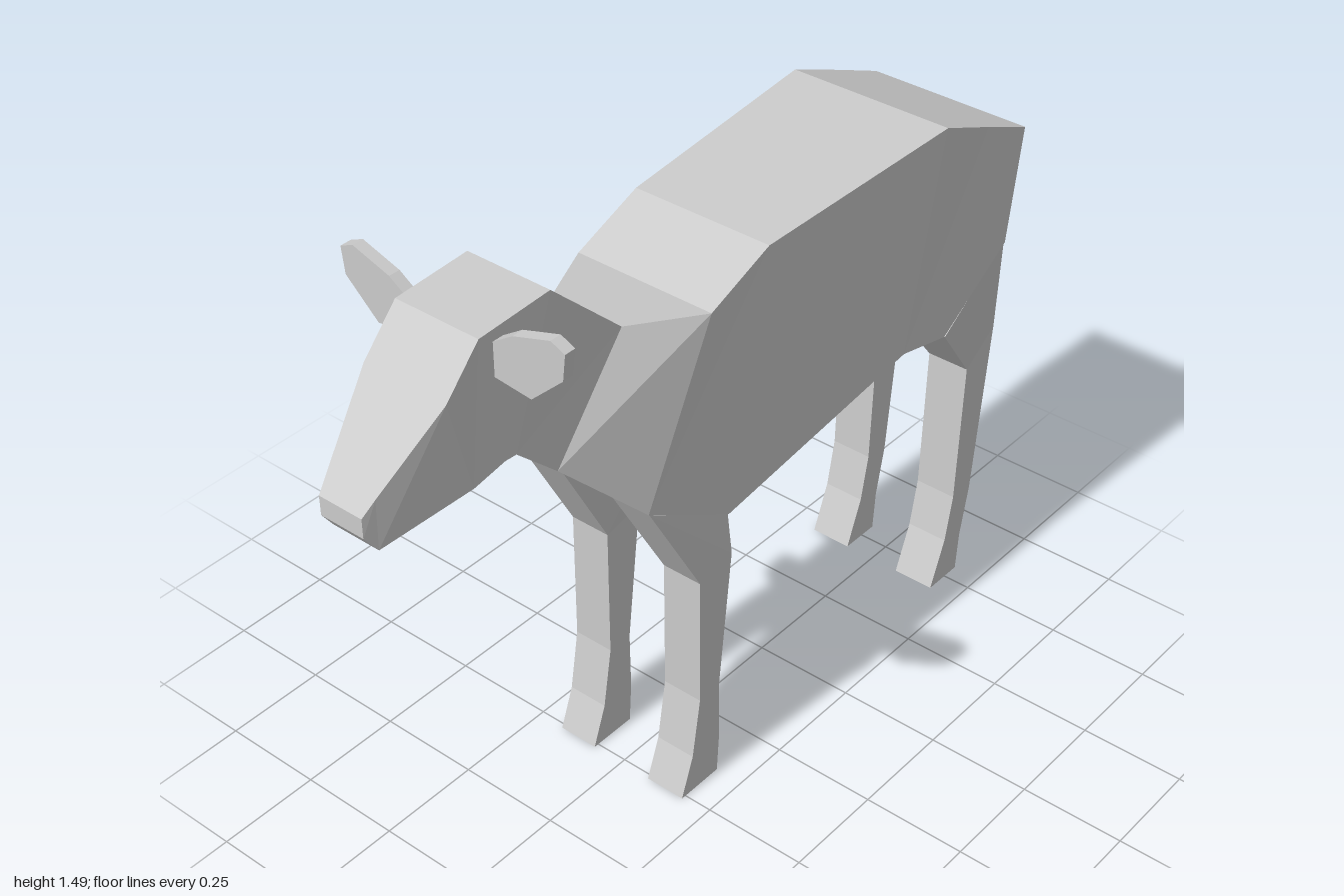
import * as THREE from 'three';

const material = new THREE.MeshStandardMaterial({ color: 0xcccccc, flatShading: true });

// Skins a list of equal-length point loops and closes both ends; faces always point outward.
function loft(name, loops) {
  const tris = [];
  const n = loops[0].length;
  for (let s = 0; s < loops.length - 1; s++) {
    const a = loops[s], b = loops[s + 1];
    for (let i = 0; i < n; i++) {
      const j = (i + 1) % n;
      tris.push([a[i], a[j], b[j]], [a[i], b[j], b[i]]);
    }
  }
  const first = loops[0], last = loops[loops.length - 1];
  for (let i = 1; i < n - 1; i++) {
    tris.push([first[0], first[i + 1], first[i]], [last[0], last[i], last[i + 1]]);
  }
  // Signed volume tells whether the winding must be reversed
  let volume = 0;
  for (const t of tris) {
    const [a, b, c] = t.map((p) => new THREE.Vector3(...p));
    volume += a.dot(b.cross(c));
  }
  if (volume < 0) tris.forEach((t) => t.reverse());

  const geometry = new THREE.BufferGeometry();
  geometry.setAttribute('position', new THREE.Float32BufferAttribute(tris.flat(2), 3));
  geometry.computeVertexNormals();
  const mesh = new THREE.Mesh(geometry, material);
  mesh.name = name;
  return mesh;
}

// Section across the spine: top edge and bottom edge, each with x, y and half width
const spineSection = ([tx, ty, tw, bx, by, bw]) => [
  [tx, ty, tw], [tx, ty, -tw], [bx, by, -bw], [bx, by, bw],
];

// Section of a leg: leading point, trailing point, inner and outer distance from the middle
const legSection = (side) => ([fx, fy, rx, ry, zin, zout]) => [
  [fx, fy, side * zin], [fx, fy, side * zout], [rx, ry, side * zout], [rx, ry, side * zin],
];

// Mirrors half a loop given from the top down to a single tip on the centre line
const mirrorLoop = (half, tip) => [
  ...half, tip, ...half.slice().reverse().map(([x, y, z]) => [x, y, -z]),
];

export function createModel() {
  const model = new THREE.Group();
  model.name = 'animal';

  // Head, from muzzle to the back of the skull
  model.add(loft('head', [
    [-1.0, 1.175, 0.055, -1.0, 1.13, 0.055],
    [-0.97, 1.205, 0.063, -0.97, 1.088, 0.06],
    [-0.82, 1.35, 0.105, -0.76, 1.125, 0.1],
    [-0.73, 1.445, 0.105, -0.68, 1.145, 0.105],
    [-0.54, 1.455, 0.105, -0.65, 1.143, 0.105],
  ].map(spineSection)));

  // Neck, widening into the shoulders
  model.add(loft('neck', [
    [-0.54, 1.455, 0.105, -0.65, 1.143, 0.105],
    [-0.33, 1.26, 0.09, -0.54, 1.04, 0.105],
    [-0.16, 1.24, 0.175, -0.35, 0.85, 0.17],
  ].map(spineSection)));

  // Torso, from shoulders to rump
  model.add(loft('torso', [
    [-0.16, 1.24, 0.175, -0.35, 0.85, 0.17],
    [0.02, 1.31, 0.175, -0.1, 0.705, 0.175],
    [0.59, 1.34, 0.205, 0.49, 0.81, 0.195],
    [0.75, 1.274, 0.205, 0.64, 0.78, 0.2],
    [0.9, 1.21, 0.205, 0.857, 0.93, 0.205],
  ].map(spineSection)));

  const frontLeg = [
    [-0.35, 0.85, -0.1, 0.705, 0.07, 0.172],
    [-0.2, 0.58, -0.095, 0.6, 0.08, 0.18],
    [-0.2, 0.25, -0.135, 0.25, 0.08, 0.18],
    [-0.225, 0.1, -0.133, 0.1, 0.08, 0.18],
    [-0.262, 0, -0.14, 0, 0.08, 0.18],
  ];
  const hindLeg = [
    [0.64, 0.78, 0.857, 0.93, 0.07, 0.202],
    [0.775, 0.61, 0.876, 0.68, 0.075, 0.182],
    [0.762, 0.24, 0.83, 0.23, 0.075, 0.18],
    [0.738, 0.12, 0.803, 0.1, 0.075, 0.18],
    [0.69, 0, 0.795, 0, 0.075, 0.18],
  ];
  // Ear outline as z, y
  const ear = [
    [0.095, 1.345], [0.195, 1.335], [0.275, 1.41], [0.282, 1.47],
    [0.248, 1.485], [0.155, 1.455], [0.095, 1.415],
  ];

  // Paired parts
  for (const [label, side] of [['left', 1], ['right', -1]]) {
    model.add(loft(label + 'FrontLeg', frontLeg.map(legSection(side))));
    model.add(loft(label + 'HindLeg', hindLeg.map(legSection(side))));
    model.add(loft(label + 'Ear', [-0.695, -0.668].map((x) => ear.map(([z, y]) => [x, y, side * z]))));
  }

  // Tail, a tapering slab with a pointed tip
  model.add(loft('tail', [
    mirrorLoop([[0.88, 1.2, 0.04], [0.87, 1.07, 0.06], [0.915, 0.945, 0.07]], [0.92, 0.878, 0]),
    mirrorLoop([[0.9, 1.2, 0.04], [0.933, 1.1, 0.06], [0.98, 0.955, 0.072]], [0.997, 0.898, 0]),
  ]));

  return model;
}
